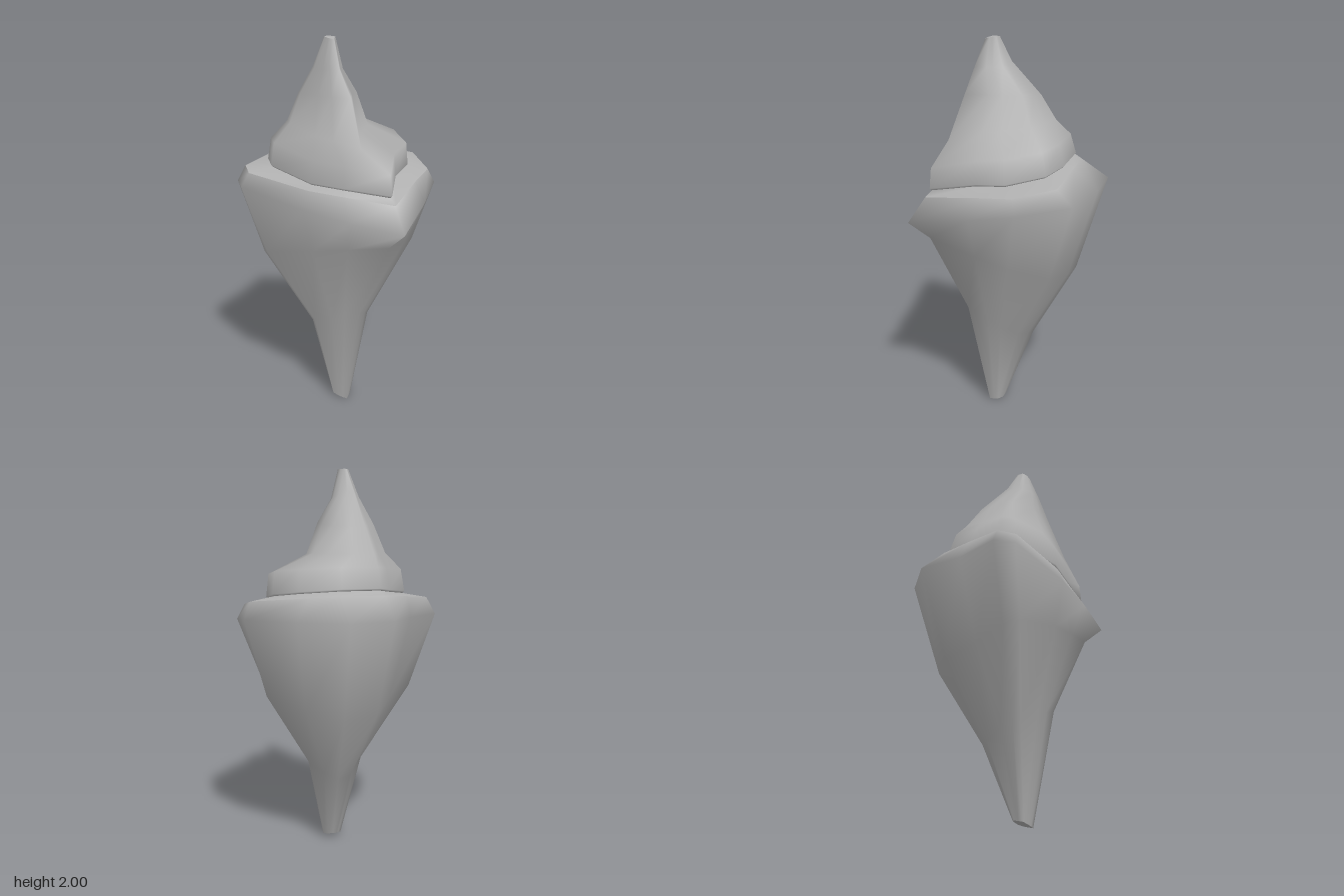
import * as THREE from 'three';

// Outlines seen from above as [x, z], starting at the back and passing +x, the front and -x
const whorlOutline = [[0.06, -0.535], [0.28, -0.4], [0.5, -0.2], [0.5, 0.08], [0.37, 0.27], [0.165, 0.53],
  [-0.06, 0.385], [-0.25, 0.23], [-0.5, -0.05], [-0.5, -0.16], [-0.31, -0.31], [-0.165, -0.5]];
const shoulderOutline = [[0.06, -0.385], [0.2, -0.3], [0.46, -0.135], [0.46, 0.08], [0.34, 0.21], [0.15, 0.44],
  [-0.06, 0.31], [-0.215, 0.21], [-0.46, -0.04], [-0.46, -0.135], [-0.31, -0.26], [-0.15, -0.385]];
const spireOutline = [[0.055, -0.355], [0.24, -0.235], [0.345, -0.115], [0.345, 0.085], [0.235, 0.205], [0.14, 0.415],
  [-0.06, 0.295], [-0.2, 0.205], [-0.345, -0.03], [-0.345, -0.115], [-0.22, -0.25], [-0.14, -0.355]];

// Fit an outline into x and z limits, with heights at its back, middle and front
function ring(outline, [x0, x1, z0, z1], [yBack, yMid, yFront]) {
  const { lerp, mapLinear } = THREE.MathUtils;
  const xs = outline.map(p => p[0]), zs = outline.map(p => p[1]);
  const minX = Math.min(...xs), maxX = Math.max(...xs);
  const minZ = Math.min(...zs), maxZ = Math.max(...zs);
  return outline.map(([x, z]) => {
    const t = mapLinear(z, minZ, maxZ, 0, 1);
    const y = t < 0.5 ? lerp(yBack, yMid, t * 2) : lerp(yMid, yFront, t * 2 - 1);
    return [mapLinear(x, minX, maxX, x0, x1), y, mapLinear(z, minZ, maxZ, z0, z1)];
  });
}

// A ring shrunk to its centre, to close an end
function closed(points) {
  const c = [0, 1, 2].map(k => points.reduce((sum, p) => sum + p[k], 0) / points.length);
  return points.map(() => c);
}

// Smooth skin over a stack of rings
function loft(name, rings, material) {
  const n = rings[0].length, index = [];
  for (let r = 0; r < rings.length - 1; r++) {
    for (let i = 0; i < n; i++) {
      const a = r * n + i, b = r * n + (i + 1) % n, c = a + n, d = b + n;
      index.push(a, c, b, b, c, d);
    }
  }
  const geometry = new THREE.BufferGeometry();
  geometry.setAttribute('position', new THREE.Float32BufferAttribute(rings.flat(2), 3));
  geometry.setIndex(index);
  geometry.computeVertexNormals();
  const mesh = new THREE.Mesh(geometry, material);
  mesh.name = name;
  return mesh;
}

export function createModel() {
  const shell = new THREE.MeshStandardMaterial({ name: 'shell grey', color: 0xb0b0b0, side: THREE.DoubleSide });
  const group = new THREE.Group();
  group.name = 'seaShell';

  // Large lower whorl, tapering down to the foot
  const foot = ring(whorlOutline, [-0.045, 0.05, 0, 0.1], [0.03, 0.015, 0]);
  const shoulder = ring(shoulderOutline, [-0.46, 0.46, -0.385, 0.44], [1.39, 1.325, 1.26]);
  group.add(loft('bodyWhorl', [
    foot,
    ring(whorlOutline, [-0.145, 0.145, -0.15, 0.22], [0.4, 0.5, 0.6]),
    ring(whorlOutline, [-0.385, 0.385, -0.38, 0.42], [0.78, 0.92, 1.04]),
    ring(whorlOutline, [-0.5, 0.5, -0.535, 0.53], [1.28, 1.26, 1.14]),
    shoulder,
  ], shell));
  group.add(loft('footCap', [closed(foot), foot], shell));

  // Sloping ledge between the whorl and the spire
  const seam = ring(spireOutline, [-0.335, 0.335, -0.345, 0.405], [1.41, 1.35, 1.29]);
  group.add(loft('ledge', [shoulder, seam], shell));

  // Twisted spire with a step on the +x side
  const tip = ring(spireOutline, [-0.085, -0.035, 0.02, 0.095], [2, 2, 1.99]);
  group.add(loft('spire', [
    seam,
    ring(spireOutline, [-0.345, 0.345, -0.355, 0.415], [1.42, 1.36, 1.3]),
    ring(spireOutline, [-0.33, 0.33, -0.325, 0.405], [1.52, 1.48, 1.4]),
    ring(spireOutline, [-0.245, 0.135, -0.27, 0.3], [1.58, 1.58, 1.51]),
    ring(spireOutline, [-0.19, 0.08, -0.19, 0.21], [1.71, 1.73, 1.73]),
    ring(spireOutline, [-0.135, 0, -0.04, 0.15], [1.88, 1.85, 1.86]),
    tip,
  ], shell));
  group.add(loft('spireTip', [tip, closed(tip)], shell));

  return group;
}
